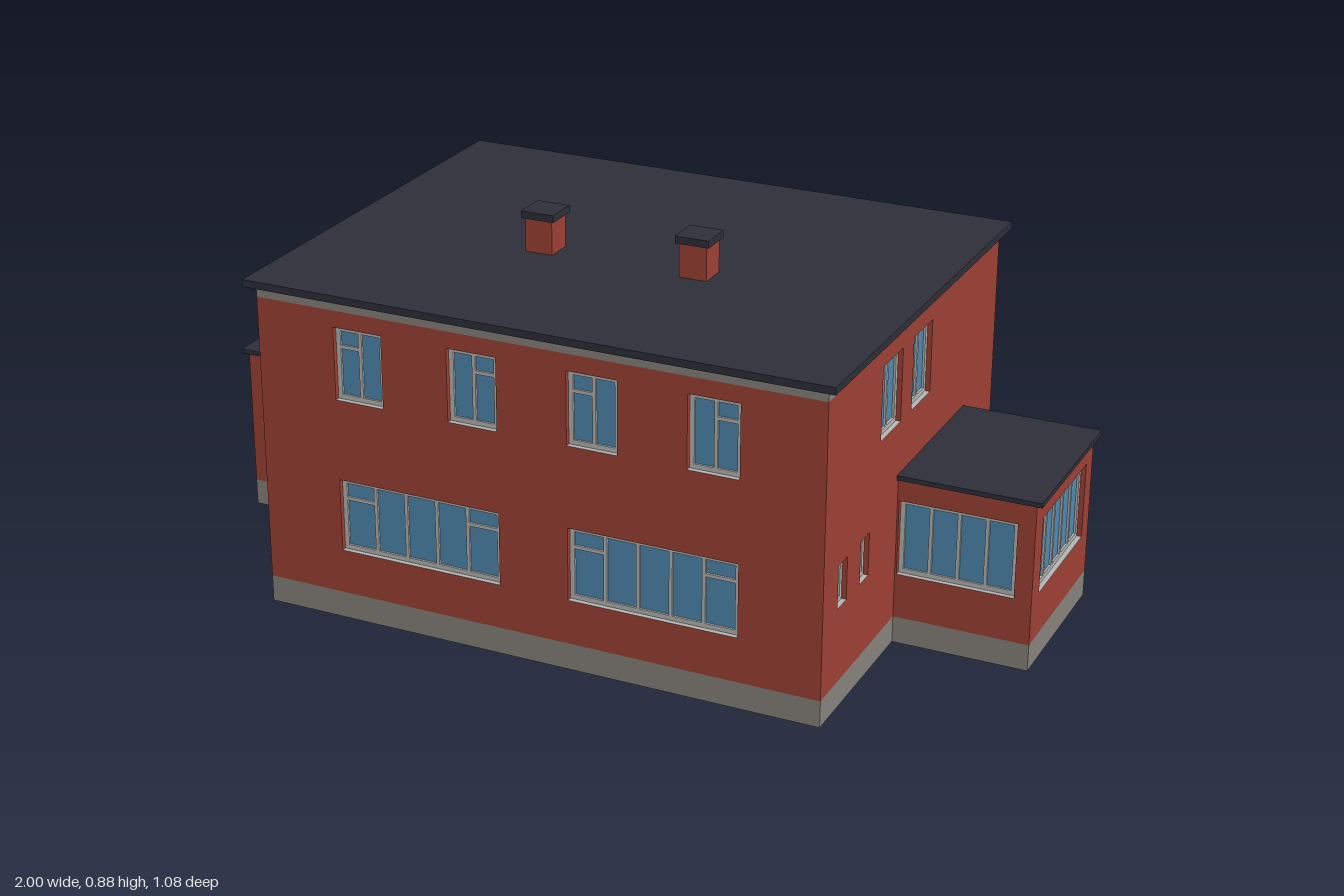
import * as THREE from 'three';

const mat = (color) => new THREE.MeshStandardMaterial({ color, side: THREE.DoubleSide });

export function createModel() {
  const brick = mat(0x9c4034), concrete = mat(0x85827c), slate = mat(0x2d2f39);
  const white = mat(0xb4b4b2), glass = mat(0x4f87ae);
  const house = new THREE.Group();
  house.name = 'house';
  const PLINTH = 0.063, RECESS = 0.022;

  const add = (parent, name, geometry, material, x = 0, y = 0, z = 0) => {
    const m = new THREE.Mesh(geometry, material);
    m.name = name;
    m.position.set(x, y, z);
    parent.add(m);
    return m;
  };
  // box given by its limits
  const block = (parent, name, material, x0, x1, y0, y1, z0, z1) =>
    add(parent, name, new THREE.BoxGeometry(x1 - x0, y1 - y0, z1 - z0), material,
      (x0 + x1) / 2, (y0 + y1) / 2, (z0 + z1) / 2);

  const rect = (Type, x0, x1, y0, y1) => {
    const p = new Type();
    p.moveTo(x0, y0);
    p.lineTo(x1, y0);
    p.lineTo(x1, y1);
    p.lineTo(x0, y1);
    p.closePath();
    return p;
  };

  // recessed window: frame with a hole per pane, glass, brick reveals and pale sill
  function addWindow(parent, o) {
    const { x0, x1, y0, y1, cols = 1, rows = 1, transoms = [], edge = 0.011, bar = 0.008 } = o;
    const g = new THREE.Group();
    g.name = o.name || 'window';
    parent.add(g);
    const frame = rect(THREE.Shape, x0, x1, y0, y1);
    const w = (x1 - x0 - 2 * edge - (cols - 1) * bar) / cols;
    for (let c = 0; c < cols; c++) {
      const a = x0 + edge + c * (w + bar), b = a + w;
      const bottom = y0 + edge, top = y1 - edge;
      let cuts = [];
      if (transoms.includes(c)) cuts = [y1 - 0.048];
      else for (let r = 1; r < rows; r++) cuts.push(bottom + (top - bottom) * r / rows);
      let low = bottom;
      for (const cut of [...cuts, top + bar / 2]) {
        frame.holes.push(rect(THREE.Path, a, b, low, cut - bar / 2));
        low = cut + bar / 2;
      }
    }
    add(g, 'frame', new THREE.ExtrudeGeometry(frame, { depth: 0.01, bevelEnabled: false }), white, 0, 0, -RECESS);
    add(g, 'glass', new THREE.PlaneGeometry(x1 - x0 - edge, y1 - y0 - edge), glass,
      (x0 + x1) / 2, (y0 + y1) / 2, -RECESS + 0.005);
    const t = 0.003, back = -RECESS, front = -0.0005;
    block(g, 'reveal', brick, x0 - t, x0, y0, y1, back, front);
    block(g, 'reveal', brick, x1, x1 + t, y0, y1, back, front);
    block(g, 'reveal', brick, x0 - t, x1 + t, y1, y1 + t, back, front);
    block(g, 'sill', white, x0 - t, x1 + t, y0 - t, y0, back, front);
  }

  // wall facing local +z, turned by angle and moved out by distance
  function addWall(parent, name, angle, distance, x0, x1, top, openings, bandTop) {
    const g = new THREE.Group();
    g.name = name;
    g.rotation.y = angle;
    parent.add(g);
    const face = new THREE.Group();
    face.name = 'face';
    face.position.z = distance;
    g.add(face);
    const strip = (n, m, a, b) =>
      add(face, n, new THREE.PlaneGeometry(x1 - x0, b - a), m, (x0 + x1) / 2, (a + b) / 2, 0);
    strip('plinth', concrete, 0, PLINTH);
    if (bandTop) strip('eavesBand', concrete, top, bandTop);
    const shape = rect(THREE.Shape, x0, x1, PLINTH, top);
    for (const o of openings) {
      shape.holes.push(rect(THREE.Path, o.x0, o.x1, o.y0, o.y1));
      addWindow(face, o);
    }
    add(face, 'brickwork', new THREE.ShapeGeometry(shape), brick);
  }

  const opening = (x0, x1, y0, y1, more = {}) => ({ x0, x1, y0, y1, ...more });
  // mirror an opening across x = 0
  const flip = (o) => ({
    ...o, x0: -o.x1, x1: -o.x0,
    transoms: (o.transoms || []).map((c) => (o.cols || 1) - 1 - c),
  });
  const both = (list) => [...list, ...list.map(flip)];

  // main block
  const W = 0.672, D = 0.519, WALL = 0.743, EAVES = 0.769;
  const UP = [0.533, 0.704], LOW = [0.168, 0.341];
  const main = new THREE.Group();
  main.name = 'mainBlock';
  house.add(main);
  addWall(main, 'frontWall', 0, D, -W, W, WALL, both([
    opening(0.083, 0.202, ...UP, { cols: 2, transoms: [0] }),
    opening(0.362, 0.481, ...UP, { cols: 2, transoms: [1] }),
    opening(0.083, 0.481, ...LOW, { cols: 5, transoms: [0, 4] }),
  ]), EAVES);
  addWall(main, 'backWall', Math.PI, D, -W, W, WALL, both([
    opening(0.143, 0.383, ...UP, { cols: 3, transoms: [2] }),
    opening(0.083, 0.46, ...LOW, { cols: 5, transoms: [0, 4] }),
    opening(0.525, 0.59, ...LOW),
  ]), EAVES);
  const sideOpenings = [
    opening(-0.213, -0.095, ...UP, { cols: 2 }),
    opening(-0.03, 0.086, ...UP, { cols: 2 }),
    opening(-0.437, -0.386, 0.24, 0.341),
    opening(-0.311, -0.261, 0.24, 0.341),
  ];
  addWall(main, 'leftWall', Math.PI / 2, W, -D, D, WALL, sideOpenings, EAVES);
  addWall(main, 'rightWall', -Math.PI / 2, W, -D, D, WALL, sideOpenings.map(flip), EAVES);
  block(main, 'roof', slate, -0.694, 0.694, EAVES, 0.786, -0.539, 0.539);

  // side wings and chimneys, one of each per side
  for (const s of [1, -1]) {
    const wing = new THREE.Group();
    wing.name = s > 0 ? 'leftWing' : 'rightWing';
    house.add(wing);
    const pick = (o, mirrored) => [mirrored ? flip(o) : o];
    const span = (mirrored) => (mirrored ? [-0.986, -W] : [W, 0.986]);
    const H = 0.398;
    addWall(wing, 'wingFront', 0, 0.096, ...span(s < 0), H,
      pick(opening(0.676, 0.946, 0.168, 0.346, { cols: 4 }), s < 0));
    addWall(wing, 'wingBack', Math.PI, 0.306, ...span(s > 0), H,
      pick(opening(0.69, 0.95, 0.068, 0.362, { name: 'gardenDoor', cols: 3, rows: 3, edge: 0.028, bar: 0.018 }), s > 0));
    addWall(wing, 'wingSide', s * Math.PI / 2, 0.986, ...(s > 0 ? [-0.096, 0.306] : [-0.306, 0.096]), H,
      pick(opening(-0.045, 0.262, 0.167, 0.347, { cols: 5 }), s < 0));
    const edges = [s * W, s].sort((a, b) => a - b);
    block(wing, 'wingRoof', slate, ...edges, H, 0.409, -0.319, 0.105);

    const chimney = new THREE.Group();
    chimney.name = 'chimney';
    house.add(chimney);
    const cx = s * 0.188;
    block(chimney, 'chimneyStack', brick, cx - 0.033, cx + 0.033, 0.784, 0.866, 0.048, 0.115);
    block(chimney, 'chimneyCap', slate, cx - 0.04, cx + 0.04, 0.865, 0.882, 0.042, 0.121);
  }
  return house;
}
